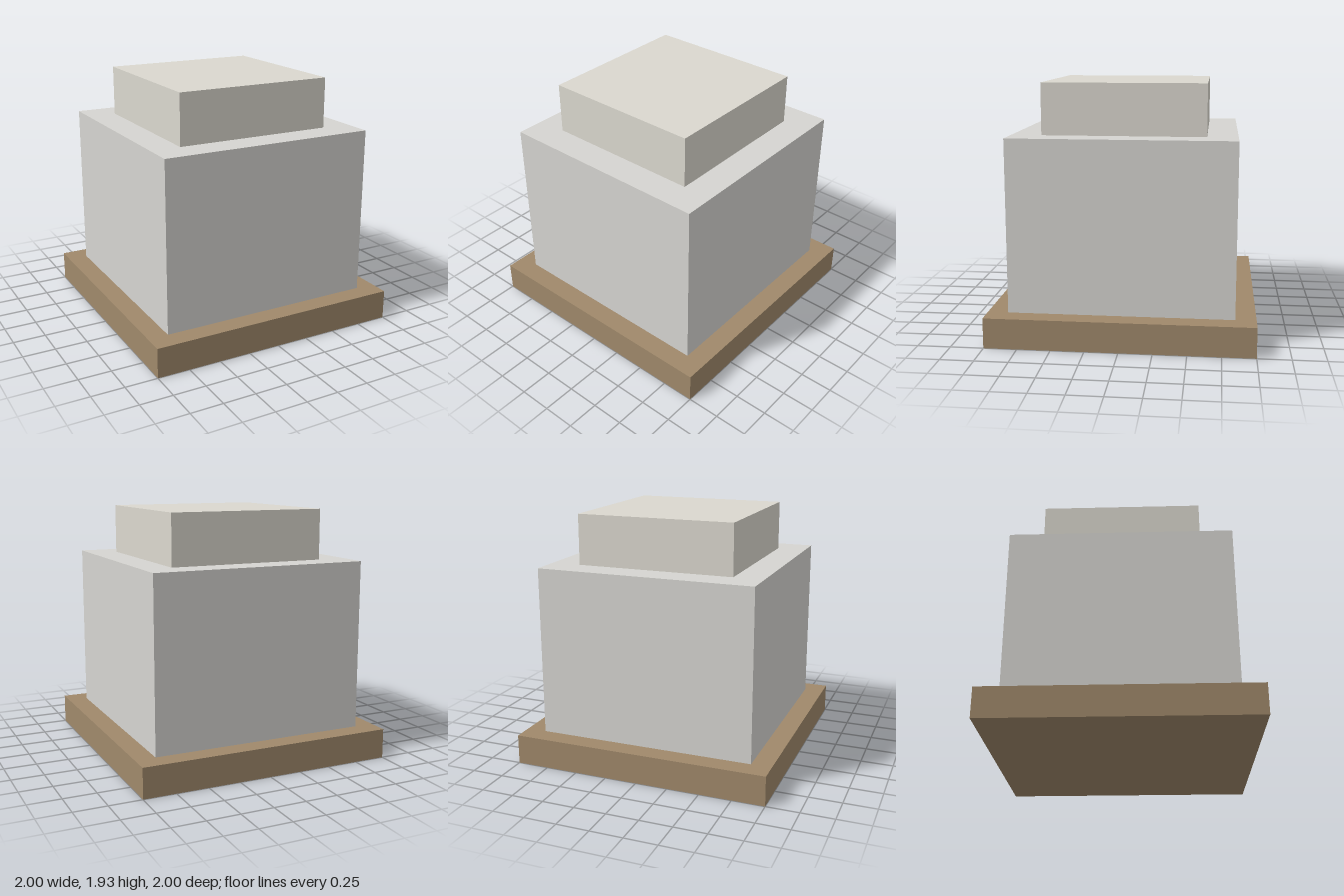
import * as THREE from 'three';

// Square block centred on the y axis, spanning y0 to y1
function block(name, width, y0, y1, color) {
  const mesh = new THREE.Mesh(
    new THREE.BoxGeometry(width, y1 - y0, width),
    new THREE.MeshStandardMaterial({ color })
  );
  mesh.name = name;
  mesh.position.y = (y0 + y1) / 2;
  return mesh;
}

export function createModel() {
  const model = new THREE.Group();
  model.name = 'steppedBlock';
  model.add(
    block('base', 2, 0, 0.23, 0xa0896b),
    // the body is sunk into the base, the cap rests on the body
    block('body', 1.69, 0.1, 1.54, 0xd6d5d1),
    block('cap', 1.23, 1.54, 1.93, 0xdbd8cf)
  );
  return model;
}
